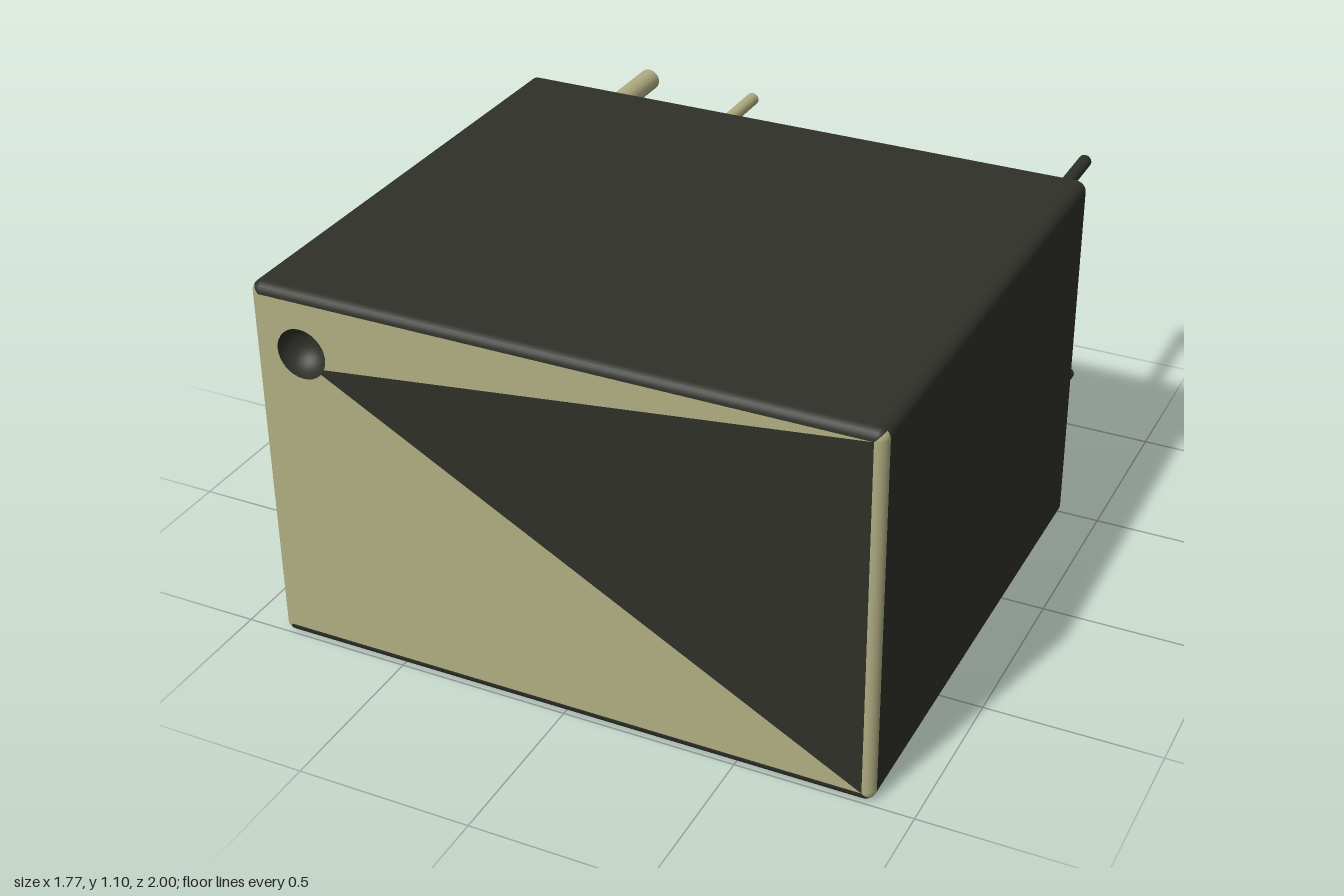
import * as THREE from 'three';

const W = 0.885, H = 0.55, R = 0.03, BACK = -0.49, FRONT = 1;
const STEPS = 6, RING = 4 * (STEPS + 1);

const dark = new THREE.MeshStandardMaterial({ color: 0x30302a });
const pale = new THREE.MeshStandardMaterial({ color: 0xb0ad82 });
const darkInside = new THREE.MeshStandardMaterial({ color: 0x30302a, side: THREE.DoubleSide });

// Point i of a rounded rectangle, tilted by phi towards the front
function ringPoint(i, z, phi) {
  const corner = Math.floor(i / (STEPS + 1));
  const a = (corner + (i % (STEPS + 1)) / STEPS) * Math.PI / 2;
  const sx = corner === 0 || corner === 3 ? 1 : -1;
  const sy = corner < 2 ? 1 : -1;
  const n = new THREE.Vector3(Math.cos(a) * Math.cos(phi), Math.sin(a) * Math.cos(phi), Math.sin(phi));
  const p = new THREE.Vector3(sx * (W - R), H + sy * (H - R), z).addScaledVector(n, R);
  return { p, n };
}

// Skin of the case: straight walls, then a rounded front rim.
// sideRim picks either the left and right rim strips or everything else.
function skin(sideRim) {
  const sections = [[BACK, 0]];
  for (let k = 0; k <= STEPS; k++) sections.push([FRONT - R, k / STEPS * Math.PI / 2]);
  const pos = [], nor = [];
  for (let k = 0; k < sections.length - 1; k++) {
    for (let i = 0; i < RING; i++) {
      const j = (i + 1) % RING;
      const a = ringPoint(i, ...sections[k]), b = ringPoint(j, ...sections[k]);
      const c = ringPoint(j, ...sections[k + 1]), d = ringPoint(i, ...sections[k + 1]);
      const onSide = k > 0 && Math.abs(a.n.x + b.n.x) > Math.abs(a.n.y + b.n.y);
      if (onSide !== sideRim) continue;
      for (const v of [a, b, c, a, c, d]) {
        pos.push(v.p.x, v.p.y, v.p.z);
        nor.push(v.n.x, v.n.y, v.n.z);
      }
    }
  }
  const g = new THREE.BufferGeometry();
  g.setAttribute('position', new THREE.Float32BufferAttribute(pos, 3));
  g.setAttribute('normal', new THREE.Float32BufferAttribute(nor, 3));
  return g;
}

export function createModel() {
  const model = new THREE.Group();
  const add = (name, geometry, material) => {
    const mesh = new THREE.Mesh(geometry, material);
    mesh.name = name;
    model.add(mesh);
    return mesh;
  };

  // Case walls and rim
  add('caseWalls', skin(false), dark);
  add('sideRims', skin(true), pale);

  // Flat back
  const outline = [];
  for (let i = 0; i < RING; i++) {
    const { p } = ringPoint(i, 0, 0);
    outline.push(new THREE.Vector2(p.x, p.y));
  }
  const back = new THREE.ShapeGeometry(new THREE.Shape(outline));
  add('backPanel', back.rotateY(Math.PI).translate(0, 0, BACK), dark);

  // Two-tone front, both panels meeting at the round dimple
  const w = W - R, b = R, t = 2 * H - R;
  const cx = -0.737, cy = 0.92, r = 0.073;
  const a0 = -0.7, a1 = -0.44;
  const low = [cx + r * Math.cos(a0), cy + r * Math.sin(a0)];
  const high = [cx + r * Math.cos(a1), cy + r * Math.sin(a1)];

  const paleShape = new THREE.Shape();
  paleShape.moveTo(-w, b).lineTo(w, b).lineTo(...low);
  paleShape.absarc(cx, cy, r, a0, a1, true);
  paleShape.lineTo(w, t).lineTo(-w, t);
  add('paleFront', new THREE.ShapeGeometry(paleShape, 32).translate(0, 0, FRONT), pale);

  const darkShape = new THREE.Shape();
  darkShape.moveTo(...low).lineTo(w, b).lineTo(w, t).lineTo(...high);
  add('darkFront', new THREE.ShapeGeometry(darkShape).translate(0, 0, FRONT), dark);

  // Hollow round dimple
  const bowl = new THREE.SphereGeometry(r, 32, 12, 0, Math.PI * 2, Math.PI / 2, Math.PI / 2);
  add('dimple', bowl.rotateX(Math.PI / 2).translate(cx, cy, FRONT), darkInside);

  // Two rows of contact pins on the back
  const columns = [
    ['thickPin', -0.737, 0.034, pale],
    ['thinPin', -0.37, 0.02, pale],
    ['darkPin', 0.73, 0.02, dark],
  ];
  for (const y of [0.185, 0.92]) {
    for (const [name, x, radius, material] of columns) {
      const pin = new THREE.CylinderGeometry(radius, radius, 1 + BACK, 24).rotateX(Math.PI / 2);
      add(name, pin, [material, dark, dark]).position.set(x, y, (BACK - 1) / 2);
    }
  }
  return model;
}
